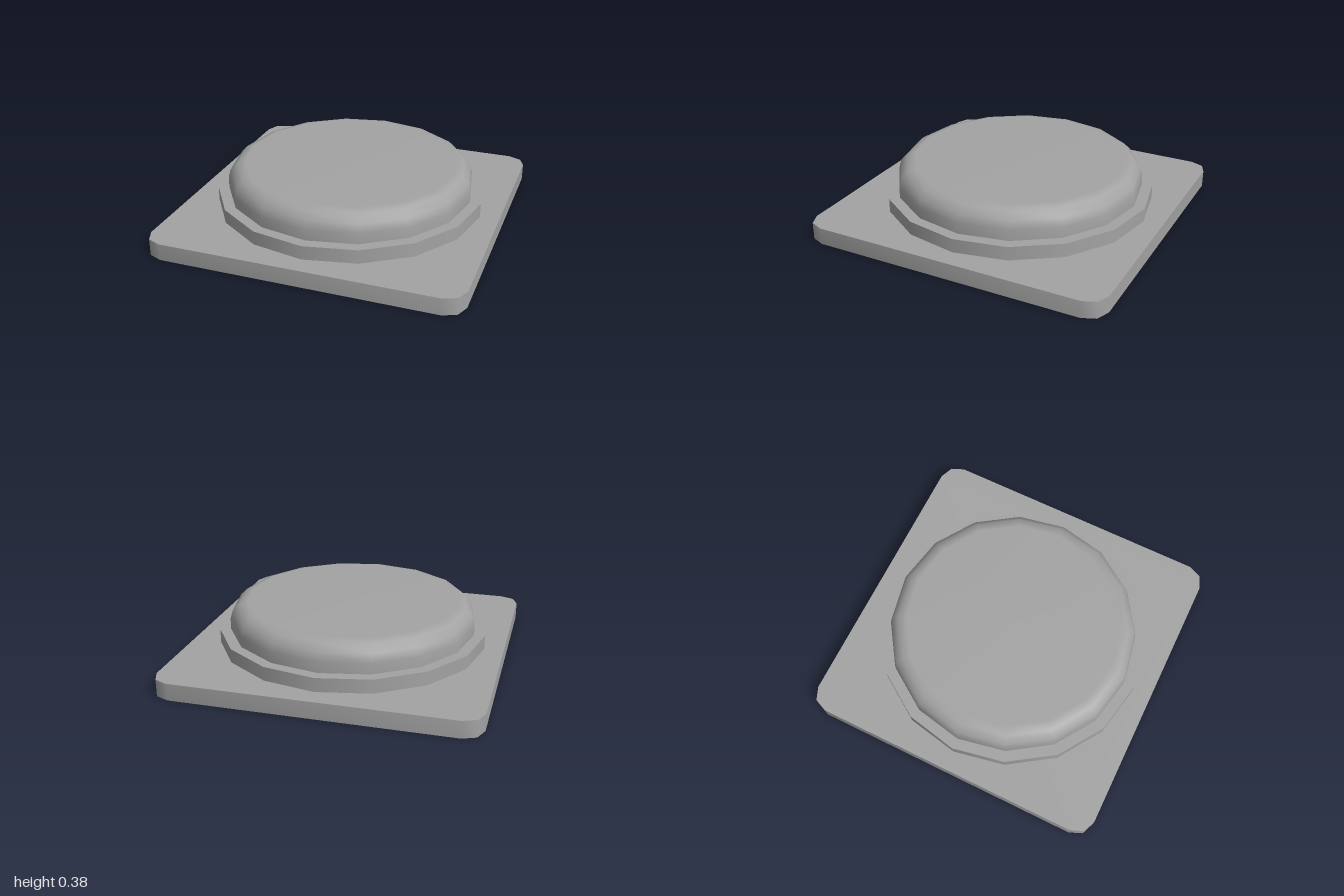
import * as THREE from 'three';
import { toCreasedNormals } from 'three/addons/utils/BufferGeometryUtils.js';

export function createModel() {
  const group = new THREE.Group();
  const grey = new THREE.MeshStandardMaterial({ color: 0xa3a3a3 });
  grey.name = 'grey';

  function add(name, geometry, y = 0) {
    const mesh = new THREE.Mesh(geometry, grey);
    mesh.name = name;
    mesh.position.y = y;
    group.add(mesh);
  }

  // Square base plate, each corner rounded in two steps
  const corner = 0.12;
  const inner = 1 - corner;
  const outline = [];
  for (let i = 0; i < 4; i++) {
    const start = i * Math.PI / 2;
    const cx = (i === 0 || i === 3) ? inner : -inner;
    const cy = i < 2 ? inner : -inner;
    for (let j = 0; j <= 2; j++) {
      const a = start + j * Math.PI / 4;
      outline.push(new THREE.Vector2(cx + corner * Math.cos(a), cy + corner * Math.sin(a)));
    }
  }
  const plate = new THREE.ExtrudeGeometry(new THREE.Shape(outline), { depth: 0.11, bevelEnabled: false });
  plate.rotateX(-Math.PI / 2);
  add('basePlate', toCreasedNormals(plate, 0.9));

  // Sixteen-sided collar
  add('collar', new THREE.CylinderGeometry(0.875, 0.875, 0.09, 16), 0.155);

  // Round button with a softly rounded rim
  const profile = [
    [0.805, 0.19], [0.805, 0.27], [0.79, 0.325], [0.747, 0.368], [0.69, 0.385], [0, 0.385],
  ].map(([r, y]) => new THREE.Vector2(r, y));
  add('button', new THREE.LatheGeometry(profile, 16));

  return group;
}
